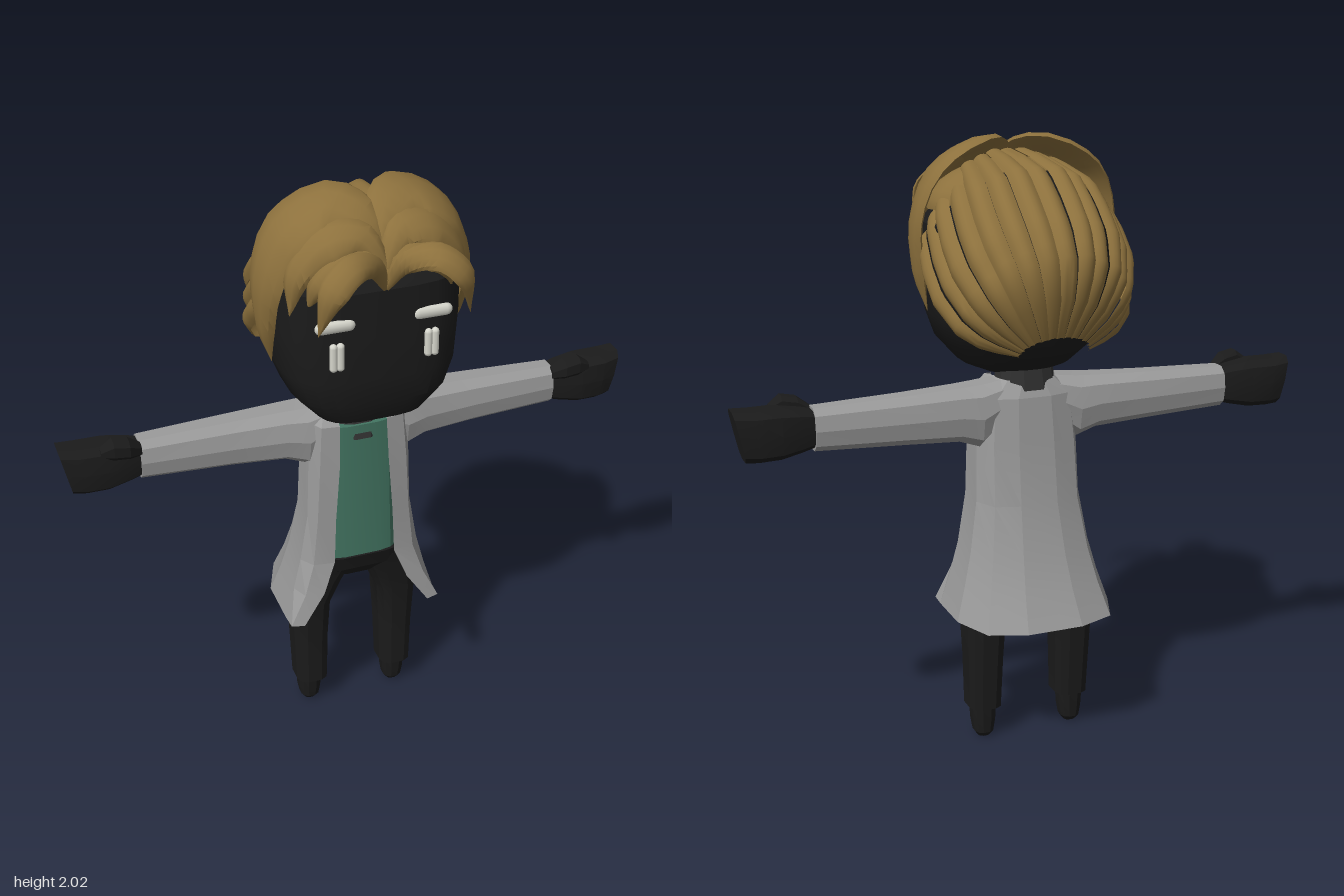
import * as THREE from 'three';
import { toCreasedNormals } from 'three/addons/utils/BufferGeometryUtils.js';

const mat = (name, color, side = THREE.FrontSide) => {
  const m = new THREE.MeshStandardMaterial({ color, side });
  m.name = name;
  return m;
};

// Skin rows of points into a surface; closed rows form capped solids that face outwards.
function surface(rows, closed, crease) {
  const n = rows[0].length, pos = rows.flat(2), idx = [];
  for (let i = 0; i < rows.length - 1; i++) {
    for (let j = 0; j < (closed ? n : n - 1); j++) {
      const k = (j + 1) % n, a = i * n + j, b = i * n + k;
      idx.push(a, b, b + n, a, b + n, a + n);
    }
  }
  if (closed) {
    [0, rows.length - 1].forEach((r, end) => {
      const c = pos.length / 3;
      for (let d = 0; d < 3; d++) pos.push(rows[r].reduce((s, p) => s + p[d], 0) / n);
      for (let j = 0; j < n; j++) {
        const a = r * n + j, b = r * n + (j + 1) % n;
        if (end) idx.push(c, a, b); else idx.push(c, b, a);
      }
    });
    // flip the winding when the enclosed volume is negative
    const v = (i) => new THREE.Vector3(pos[i * 3], pos[i * 3 + 1], pos[i * 3 + 2]);
    let vol = 0;
    for (let i = 0; i < idx.length; i += 3) vol += v(idx[i]).dot(v(idx[i + 1]).cross(v(idx[i + 2])));
    if (vol < 0) idx.reverse();
  }
  const g = new THREE.BufferGeometry();
  g.setAttribute('position', new THREE.Float32BufferAttribute(pos, 3));
  g.setIndex(idx);
  return toCreasedNormals(g, crease);
}

// Rounded-box outline in two axes
const outline = (n, e, eBack = e) => Array.from({ length: n }, (_, i) => {
  const a = ((i + 0.5) / n) * Math.PI * 2, c = Math.cos(a), s = Math.sin(a), q = s < 0 ? eBack : e;
  return [Math.sign(c) * Math.abs(c) ** q, Math.sign(s) * Math.abs(s) ** q];
});
// Level ring: [y, centre x, half width, front z, back z]
const ringY = ([y, cx, rx, zf, zb], n, e, eb) =>
  outline(n, e, eb).map(([u, v]) => [cx + u * rx, y, (zf + zb) / 2 + v * (zf - zb) / 2]);
// Upright ring along an arm: [x, bottom y, top y, back z, front z]
const ringX = ([x, yb, yt, zb, zf, lean = 0], s, n, e) =>
  outline(n, e).map(([u, v]) => [s * (x + lean * u), (yb + yt) / 2 + u * (yt - yb) / 2, (zf + zb) / 2 + v * (zf - zb) / 2]);

// Tapered hair lock, broad side facing away from the head centre
function lock(points, widths, thick, s) {
  const curve = new THREE.CatmullRomCurve3(points.map(([x, y, z]) => new THREE.Vector3(s * x, y, z)));
  const centre = new THREE.Vector3(0, 1.62, 0), steps = 18, rows = [];
  for (let i = 0; i <= steps; i++) {
    const t = i / steps, p = curve.getPoint(t), T = curve.getTangent(t);
    const N = p.clone().sub(centre);
    N.addScaledVector(T, -N.dot(T)).normalize();
    const B = T.clone().cross(N);
    const f = t * (widths.length - 1), k = Math.min(Math.floor(f), widths.length - 2);
    const w = THREE.MathUtils.lerp(widths[k], widths[k + 1], f - k) + 0.001;
    const h = thick * Math.min(1, w / 0.04);
    rows.push(Array.from({ length: 10 }, (_, j) => {
      const a = (j / 10) * Math.PI * 2, sn = Math.sin(a);
      return p.clone().addScaledVector(B, w * Math.cos(a)).addScaledVector(N, h * sn * (sn < 0 ? 0.3 : 1)).toArray();
    }));
  }
  return surface(rows, true, 0.75);
}

// Linear lookup in [t, value] pairs
function lookup(table, t) {
  let i = 0;
  while (i < table.length - 2 && t > table[i + 1][0]) i++;
  const [[a, va], [b, vb]] = [table[i], table[i + 1]];
  return va + (vb - va) * (t - a) / (b - a);
}

export function createModel() {
  const root = new THREE.Group();
  root.name = 'figure';
  const skin = mat('black', 0x1b1b1b), neckMat = mat('charcoal', 0x303030);
  const coatMat = mat('coat grey', 0x9a9a9a, THREE.DoubleSide);
  const shirtMat = mat('shirt green', 0x437562);
  const hairMat = mat('hair brown', 0x8d713d, THREE.DoubleSide);
  const white = mat('off white', 0xd6d6cc);
  const add = (name, geo, m, parent = root) => {
    const mesh = new THREE.Mesh(geo, m);
    mesh.name = name;
    parent.add(mesh);
    return mesh;
  };

  // Head and neck
  add('head', surface([
    [1.265, 0, 0.11, 0.16, -0.06], [1.295, 0, 0.18, 0.225, -0.13], [1.37, 0, 0.25, 0.258, -0.21],
    [1.46, 0, 0.285, 0.265, -0.26], [1.6, 0, 0.298, 0.265, -0.29], [1.75, 0, 0.295, 0.26, -0.25],
    [1.85, 0, 0.22, 0.19, -0.17], [1.91, 0, 0.12, 0.1, -0.08],
  ].map((r) => ringY(r, 24, 0.55, 0.95)), true, 0.5), skin);
  add('neck', surface([[1.14, 0, 0.075, 0.085, -0.11], [1.22, 0, 0.1, 0.06, -0.125], [1.3, 0, 0.09, 0.03, -0.11]]
    .map((r) => ringY(r, 12, 0.8)), true, 0.3), neckMat);

  // Shirt and hips
  add('shirt', surface([[0.66, 0, 0.14, 0.08, -0.13], [0.9, 0, 0.13, 0.08, -0.12], [1.19, 0, 0.12, 0.077, -0.1]]
    .map((r) => ringY(r, 16, 0.5)), true, 0.3), shirtMat);
  add('hips', surface([[0.57, 0, 0.08, 0.03, -0.12], [0.62, 0, 0.17, 0.07, -0.15], [0.68, 0, 0.17, 0.088, -0.15]]
    .map((r) => ringY(r, 16, 0.5)), true, 0.3), skin);

  // Open coat: [y, half width, front z, back z, front edge x]
  add('coat', surface([
    [1.255, 0.1, 0.03, -0.11, 0.09], [1.2, 0.16, 0.08, -0.13, 0.08], [1.05, 0.175, 0.09, -0.145, 0.085],
    [0.85, 0.182, 0.092, -0.17, 0.1], [0.68, 0.21, 0.095, -0.215, 0.107],
    [0.57, 0.238, 0.11, -0.255, 0.15], [0.46, 0.272, 0.12, -0.31, 0.225],
  ].map(([y, rx, zf, zb, e]) => {
    const half = [[e, zf], [(e + rx) / 2 + 0.02, zf * 0.9], [rx, zf * 0.4], [rx, zb * 0.4], [rx * 0.8, zb * 0.85], [rx * 0.35, zb]];
    return [...half.map(([x, z]) => [x, y, z]), ...half.reverse().map(([x, z]) => [-x, y, z])];
  }), false, 0.15), coatMat);

  for (const s of [1, -1]) {
    const side = s > 0 ? 'left' : 'right';
    // Arm
    add(side + 'Sleeve', surface([
      [0.09, 1.1, 1.255, -0.115, 0.05], [0.17, 1.035, 1.247, -0.125, 0.055], [0.24, 1.06, 1.243, -0.122, 0.042],
      [0.42, 1.07, 1.235, -0.115, 0.026], [0.715, 1.082, 1.225, -0.1, 0.012],
    ].map((r) => ringX(r, s, 10, 0.75)), true, 0.25), coatMat);
    add(side + 'Hand', surface([
      [0.69, 1.1, 1.21, -0.085, 0.0], [0.75, 1.085, 1.225, -0.1, 0.015], [0.82, 1.07, 1.235, -0.11, 0.025],
      [0.9, 1.068, 1.235, -0.11, 0.02, 0.01], [0.95, 1.07, 1.24, -0.1, 0.005, 0.018],
    ].map((r) => ringX(r, s, 10, 0.6)), true, 0.3), skin);
    add(side + 'Thumb', surface([
      [0.71, 1.18, 1.22, -0.03, 0.01], [0.75, 1.185, 1.25, -0.03, 0.035], [0.8, 1.19, 1.26, -0.025, 0.035], [0.84, 1.2, 1.23, -0.02, 0.02],
    ].map((r) => ringX(r, s, 8, 0.7)), true, 0.3), skin);

    // Leg and foot
    add(side + 'Leg', surface([
      [0.115, 0.158, 0.058, 0.02, -0.115], [0.3, 0.158, 0.063, 0.025, -0.13], [0.46, 0.157, 0.072, 0.035, -0.14],
      [0.56, 0.135, 0.09, 0.055, -0.145], [0.65, 0.1, 0.098, 0.075, -0.145],
    ].map(([y, x, ...r]) => ringY([y, s * x, ...r], 12, 0.65)), true, 0.35), skin);
    add(side + 'Foot', surface([
      [0.002, 0.16, 0.022, -0.03, -0.08], [0.02, 0.16, 0.034, -0.015, -0.095],
      [0.06, 0.16, 0.041, -0.008, -0.1], [0.13, 0.16, 0.045, 0, -0.105],
    ].map(([y, x, ...r]) => ringY([y, s * x, ...r], 12, 0.8)), true, 0.4), skin);

    // Eye: closed lid above a drop
    const lid = new THREE.CapsuleGeometry(0.02, 0.088, 4, 10);
    lid.rotateZ(Math.PI / 2).scale(1, 1, 0.7).translate(s * 0.155, 1.655, 0.255);
    add(side + 'EyeLid', lid, white);
    for (const dx of [-0.011, 0.011]) {
      const drop = new THREE.CapsuleGeometry(0.013, 0.068, 4, 8);
      add(side + 'Tear', drop.translate(s * 0.152 + dx, 1.555, 0.261), white);
    }

    // Front locks, from the parting outwards
    [
      [[[0, 1.86, 0.22], [0.05, 1.945, 0.16], [0.13, 1.97, 0.1], [0.25, 1.9, 0.085], [0.31, 1.75, 0.085], [0.308, 1.6, 0.07], [0.295, 1.47, 0.06]],
        [0.02, 0.08, 0.11, 0.11, 0.085, 0.045, 0], 0.032],
      [[[0, 1.82, 0.26], [0.07, 1.91, 0.22], [0.16, 1.905, 0.2], [0.24, 1.82, 0.19], [0.275, 1.68, 0.19]],
        [0.02, 0.06, 0.075, 0.055, 0], 0.03],
      [[[0, 1.79, 0.265], [0.06, 1.855, 0.26], [0.14, 1.845, 0.26], [0.2, 1.79, 0.245], [0.23, 1.71, 0.22]],
        [0.02, 0.045, 0.055, 0.04, 0], 0.025],
      [[[0, 1.76, 0.265], [0.05, 1.85, 0.3], [0.13, 1.875, 0.345], [0.2, 1.82, 0.37], [0.238, 1.68, 0.345]],
        [0.01, 0.035, 0.045, 0.045, 0], 0.02],
    ].forEach(([p, w, t], i) => add(`${side}FrontLock${i + 1}`, lock(p, w, t, s), hairMat));
  }

  // Crown under the front locks
  const crown = new THREE.SphereGeometry(1, 24, 8, 0, Math.PI * 2, 0, Math.PI / 2);
  add('crown', crown.scale(0.285, 0.15, 0.195).translate(0, 1.795, 0.07), hairMat);

  // Back hair: bulging strands that sweep from the crown and gather at the nape
  const backHair = new THREE.Group();
  backHair.name = 'backHair';
  root.add(backHair);
  const height = [[-0.5, 0.19], [-0.3, 0.26], [0, 0.345], [0.25, 0.355], [0.5, 0.355], [0.75, 0.32], [0.9, 0.23], [1, 0.08]];
  const width = [[-0.5, 0.24], [0, 0.325], [0.25, 0.338], [0.5, 0.335], [0.75, 0.295], [0.9, 0.23], [1, 0.12]];
  const strands = 15, reach = 1.66;
  for (let k = 0; k < strands; k++) {
    const rows = [], lift = k % 2 ? 0.975 : 1;
    for (let i = 0; i <= 16; i++) {
      const row = [];
      for (let j = 0; j <= 6; j++) {
        const w = j / 3 - 1, a = (((k + j / 6) / strands) * 2 - 1) * reach;
        const t0 = -0.5 * Math.max(0, Math.cos(a)), t = t0 + (1 - t0) * (i / 16);
        const r = lift * (1 - 0.055 * w * w), up = Math.cos(a) * r * lookup(height, t);
        row.push([Math.sin(a) * r * lookup(width, t), 1.68 - 0.3 * t + 0.75 * up, 0.06 - 0.34 * t - 0.66 * up]);
      }
      rows.push(row);
    }
    add('backStrand', surface(rows, false, 1), hairMat, backHair);
  }
  return root;
}
